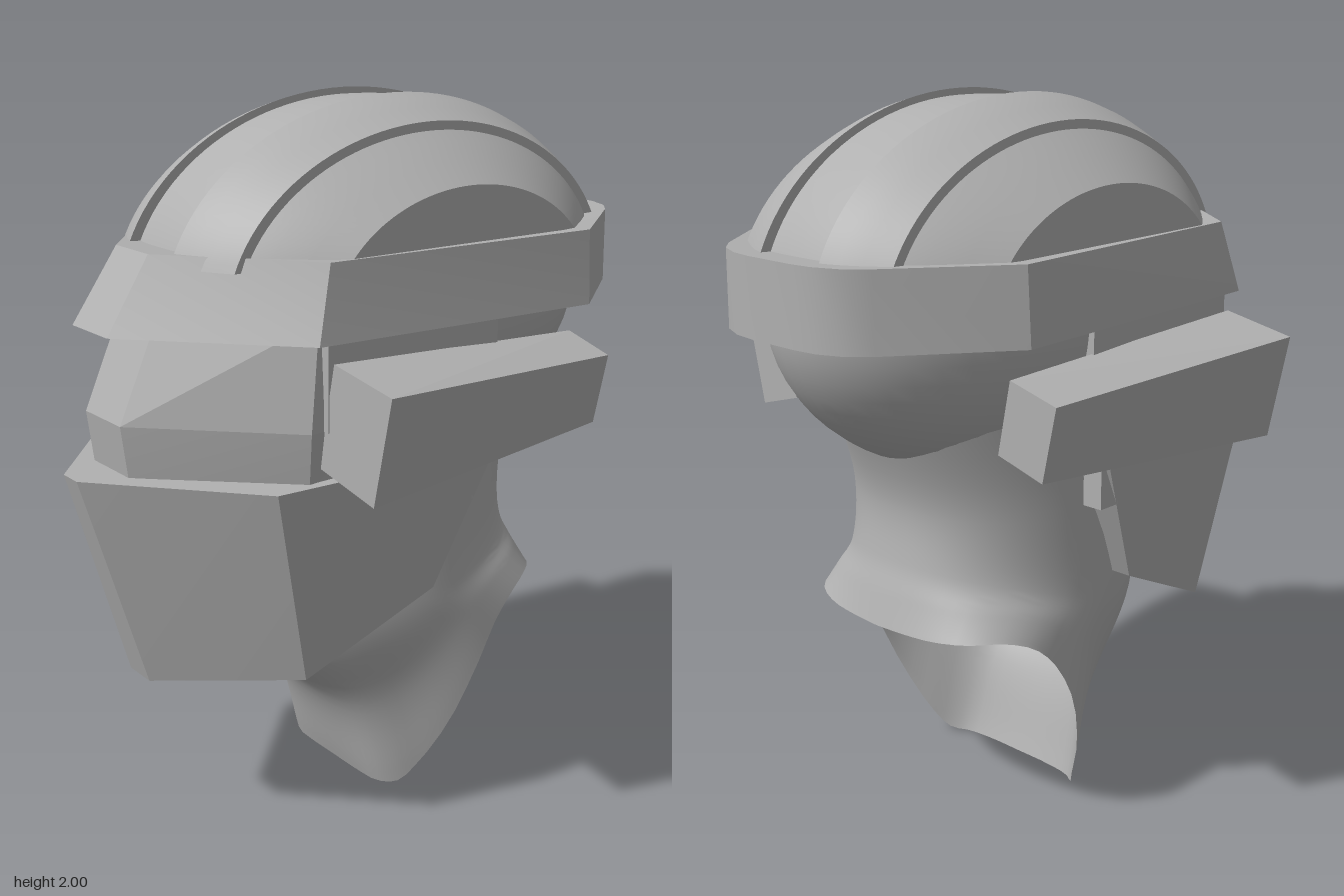
import * as THREE from 'three';
import { toCreasedNormals } from 'three/addons/utils/BufferGeometryUtils.js';

// Skin a series of closed loops of [x, y, z]; optional end caps; edges sharper than crease stay hard
function loft(loops, cap, crease) {
  const pos = [], idx = [], n = loops[0].length;
  loops.forEach(l => l.forEach(p => pos.push(...p)));
  for (let i = 0; i < loops.length - 1; i++) {
    for (let j = 0; j < n; j++) {
      const a = i * n + j, b = i * n + (j + 1) % n;
      idx.push(a, b, a + n, b, b + n, a + n);
    }
  }
  if (cap) {
    [0, loops.length - 1].forEach((i, end) => {
      const c = pos.length / 3;
      pos.push(...[0, 1, 2].map(k => loops[i].reduce((s, p) => s + p[k], 0) / n));
      for (let j = 0; j < n; j++) {
        const a = i * n + j, b = i * n + (j + 1) % n;
        if (end) idx.push(a, b, c); else idx.push(b, a, c);
      }
    });
  }
  const g = new THREE.BufferGeometry();
  g.setAttribute('position', new THREE.Float32BufferAttribute(pos, 3));
  g.setIndex(idx);
  return toCreasedNormals(g, crease);
}

const mix = (a, b, t) => a.map((v, k) => v + (b[k] - v) * t);
const flip = p => [p[0], p[1], -p[2]];
const spline = (pts, n) => new THREE.CatmullRomCurve3(pts.map(p => new THREE.Vector3(...p))).getPoints(n).map(p => p.toArray());
// Half a loop (z >= 0, both ends on the centre line) to a whole one
const whole = half => [...half, ...half.slice(1, -1).reverse().map(flip)];

export function createModel() {
  const group = new THREE.Group();
  const grey = new THREE.MeshStandardMaterial({ color: 0xb0b0b0, side: THREE.DoubleSide });
  grey.name = 'grey';
  const add = (name, geometry) => {
    const m = new THREE.Mesh(geometry, grey);
    m.name = name;
    group.add(m);
    return m;
  };

  // Rounded skull below the band
  const skull = add('skull', new THREE.SphereGeometry(1, 48, 32));
  skull.scale.set(0.7, 0.5, 0.44);
  skull.position.set(0.1, 1.48, 0);

  // Dome strips: upper ellipse arcs at z with half length a and height b, ending inside the band
  const arch = ([z, a, b]) => Array.from({ length: 49 }, (_, i) => {
    const t0 = Math.asin(0.13 / b), t = t0 + (Math.PI - 2 * t0) * i / 48;
    return [0.1 + a * Math.cos(t), 1.48 + b * Math.sin(t), z];
  });
  add('domeCentre', loft([-0.12, -0.06, 0, 0.06, 0.12].map(z =>
    arch([z, 0.703 - z * z * 0.3, 0.508 - z * z * 0.5])), true, 0.5));
  for (const s of [1, -1]) {
    const strip = rows => loft(rows.map(([z, a, b]) => arch([z * s, a, b])), true, 0.5);
    add('domeInnerStrip', strip([[0.11, 0.73, 0.52], [0.16, 0.712, 0.507], [0.21, 0.687, 0.487], [0.275, 0.65, 0.458]]));
    add('domeOuterStrip', strip([[0.26, 0.635, 0.445], [0.31, 0.59, 0.408], [0.37, 0.52, 0.362], [0.432, 0.444, 0.31]]));
  }

  // Band around the head: bottom x, bottom z, top x, top z from front to back
  const bandHalf = [
    [-0.78, 0.09, -0.65, 0.08], [-0.41, 0.47, -0.355, 0.44], [0.48, 0.5, 0.48, 0.488],
    [0.77, 0.275, 0.77, 0.27], [0.82, 0.22, 0.82, 0.215], [0.848, 0.15, 0.848, 0.145], [0.856, 0.08, 0.856, 0.08],
  ];
  const bandSection = ([xb, zb, xt, zt]) => {
    const yb = 1.452 - 0.008 * (xb + 0.78);
    return [
      [xb, yb, zb], [xt, 1.645, zt],
      [0.1 + (xt - 0.1) * 0.88, 1.64, zt * 0.88], [0.1 + (xb - 0.1) * 0.9, yb, zb * 0.9],
    ];
  };
  const bandLoops = bandHalf.map(bandSection);
  const bandMirror = bandLoops.map(l => l.map(flip)).reverse();
  add('band', loft([...bandLoops, ...bandMirror, bandLoops[0]], false, 0.4));

  // Visor: stacked faceted outlines
  const visorRow = (y, pts) => {
    const half = pts.map(([x, z]) => [x, y, z]);
    return [...half, ...half.map(flip).reverse()];
  };
  add('visor', loft([
    visorRow(1.5, [[-0.63, 0.09], [-0.375, 0.42], [-0.2, 0.42]]),
    visorRow(1.22, [[-0.755, 0.09], [-0.41, 0.435], [-0.2, 0.42]]),
    visorRow(1.06, [[-0.735, 0.09], [-0.4, 0.41], [-0.2, 0.41]]),
  ], true, 0.1));

  // Solid face mask: cheek outline, then a centre ridge, mirrored
  const cheek = [[-0.51, 1.08, 0.43], [0.165, 1.09, 0.484], [0, 0.705, 0.43], [-0.39, 0.52, 0.375], [-0.39, 0.52, 0.375]];
  const ridge = [[-0.856, 1.08, 0.035], [0.165, 1.09, 0.035], [0, 0.705, 0.035], [-0.39, 0.52, 0.035], [-0.68, 0.475, 0.05]];
  add('faceMask', loft([cheek, ridge, ridge.map(flip), cheek.map(flip)], true, 0.1));

  // Side parts
  for (const s of [1, -1]) {
    const side = ([x, y, z]) => [x, y, z * s];
    add('sideBlock', loft([
      [[-0.355, 1.36, 0.68], [-0.36, 1.07, 0.62], [-0.37, 1.12, 0.41], [-0.365, 1.4, 0.467]],
      [[0.48, 1.315, 0.58], [0.48, 1.115, 0.537], [0.48, 1.157, 0.39], [0.48, 1.355, 0.43]],
    ].map(l => l.map(side)), true, 0.05));

    const mount = add('sideMount', new THREE.BoxGeometry(0.56, 0.24, 0.07));
    mount.position.set(-0.09, 1.34, 0.415 * s);

    const clip = add('cheekClip', new THREE.BoxGeometry(0.07, 0.15, 0.06));
    clip.position.set(0.135, 1.025, 0.435 * s);
  }

  // Neck running down into the pointed bib: rim from back to front
  const rim = whole(spline([
    [0.55, 0.605, 0], [0.545, 0.607, 0.1], [0.53, 0.61, 0.2], [0.49, 0.615, 0.29], [0.42, 0.615, 0.35], [0.34, 0.585, 0.385],
    [0.27, 0.52, 0.397], [0.2, 0.4, 0.4], [0.13, 0.22, 0.36], [0.07, 0.07, 0.29], [0.03, 0.01, 0.25],
    [-0.005, 0, 0.2], [-0.015, 0, 0.1], [-0.015, 0, 0],
  ], 30));
  const N = rim.length;
  // Oval ring, tilted between its back and front points, narrower at the front
  const ring = (bx, by, fx, fy, w) => Array.from({ length: N }, (_, j) => {
    const t = 2 * Math.PI * j / N, c = (1 + Math.cos(t)) / 2;
    const z = Math.sign(Math.sin(t)) * Math.pow(Math.abs(Math.sin(t)), 0.8) * w;
    return [fx + (bx - fx) * c, fy + (by - fy) * c, z * Math.min(1, 0.8 + 0.4 * c)];
  });
  const jaw = ring(0.492, 0.78, -0.35, 0.53, 0.385);
  // Bib row, drawn back at the front for a hollow throat
  const bib = jaw.map((p, j) => mix(p, rim[j], 0.5)).map(([x, y, z]) => [x + 0.15 * Math.max(0, 0.25 - x), y, z]);
  const rows = [ring(0.6, 1.28, -0.3, 1.28, 0.36), ring(0.48, 0.95, -0.36, 0.9, 0.378), jaw, bib, rim];
  const columns = rim.map((_, j) => spline(rows.map(r => r[j]), 32));
  add('neckAndBib', loft(columns[0].map((_, i) => columns.map(c => c[i])), false, 1.2));

  return group;
}
